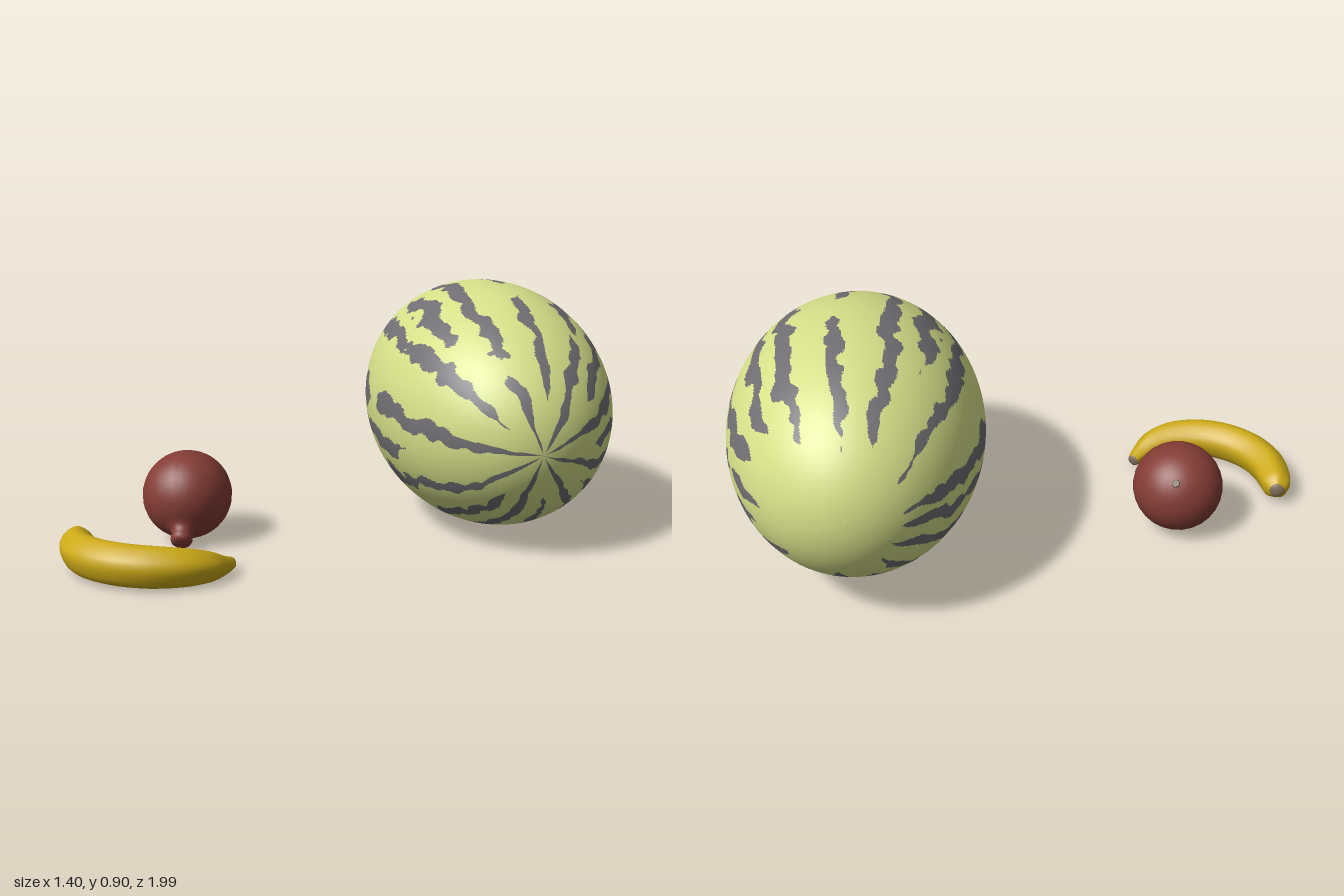
import * as THREE from 'three';
import { mergeVertices } from 'three/addons/utils/BufferGeometryUtils.js';

const mat = (name, color, side = THREE.FrontSide) => {
  const m = new THREE.MeshStandardMaterial({ color, side });
  m.name = name;
  return m;
};

// Smooth seeded 3D value noise, 0..1
function hash(x, y, z) {
  let h = (x * 374761393 + y * 668265263 + z * 1274126177 + 12345) | 0;
  h = Math.imul(h ^ (h >>> 13), 1274126177);
  return ((h ^ (h >>> 16)) >>> 0) / 4294967296;
}
function noise(x, y, z) {
  const [i, j, k] = [x, y, z].map(Math.floor);
  const [u, v, w] = [x - i, y - j, z - k].map(t => t * t * (3 - 2 * t));
  const mix = (a, b, t) => a + (b - a) * t;
  const row = (b, c) => mix(hash(i, b, c), hash(i + 1, b, c), u);
  return mix(mix(row(j, k), row(j + 1, k), v), mix(row(j, k + 1), row(j + 1, k + 1), v), w);
}

// Rind stripes: angle around the long axis (0 faces front, 90 is up), then start and end along it
const STRIPES = [
  [-77, -0.8, 1], [-56, -0.9, 0.9], [-32, -0.92, 1], [-12, -0.92, 0.4], [4, -0.92, 1], [38, -0.88, 0.95],
  [55, -0.3, 0.5], [72, -0.85, 1], [96, -0.8, 0.92], [122, -0.8, 1], [140, -0.65, 0.85], [160, -0.7, 1],
  [180, -0.75, 0.9], [199, -0.7, 1], [217, -0.8, 0.85], [238, -0.75, 1], [260, -0.85, 0.9],
].map(([deg, from, to]) => ({ angle: THREE.MathUtils.degToRad(deg), from, to }));

// True where a point of the unit sphere (long axis y) lies on a dark stripe
function isStripe(p) {
  const phi = Math.atan2(p.z, p.x);
  const wobble = 0.13 * (noise(p.x * 4 + 9, p.y * 6, p.z * 4) - 0.5)
    + 0.07 * (noise(p.x * 9, p.y * 14 + 40, p.z * 9) - 0.5);
  const edge = 0.1 * (noise(p.x * 12, p.y * 15 + 5, p.z * 12) - 0.5);
  const gap = noise(p.x * 5 + 31, p.y * 5, p.z * 5 + 17);
  const broken = Math.max(0, gap - (p.x < -0.15 ? 0.62 : 0.76)) * 0.45;
  for (const { angle, from, to } of STRIPES) {
    const e = phi + wobble - angle;
    const d = Math.abs(Math.atan2(Math.sin(e), Math.cos(e)));
    const taper = 0.12 * (THREE.MathUtils.smoothstep(from - p.y, -0.1, 0.1)
      + (to < 1 ? THREE.MathUtils.smoothstep(p.y - to, -0.08, 0.08) : 0));
    if (d < 0.076 + edge - broken - taper) return true;
  }
  return false;
}

// Melon: fine ellipsoid whose faces are sorted into rind and stripe groups
function makeMelon(rind, stripe) {
  const geo = new THREE.SphereGeometry(1, 340, 190);
  const pos = geo.attributes.position;
  const idx = geo.index.array;
  const light = [], dark = [];
  const c = new THREE.Vector3(), v = new THREE.Vector3();
  for (let i = 0; i < idx.length; i += 3) {
    c.set(0, 0, 0);
    for (let k = 0; k < 3; k++) c.add(v.fromBufferAttribute(pos, idx[i + k]));
    (isStripe(c.normalize()) ? dark : light).push(idx[i], idx[i + 1], idx[i + 2]);
  }
  geo.setIndex(light.concat(dark));
  geo.addGroup(0, light.length, 0);
  geo.addGroup(light.length, dark.length, 1);
  geo.scale(0.443, 0.62, 0.443);

  // Lay the long axis down, turned towards the front and dipping a little
  const turn = 0.628, dip = 0.08;
  const axis = new THREE.Vector3(Math.cos(turn) * Math.cos(dip), -Math.sin(dip), Math.sin(turn) * Math.cos(dip));
  const front = new THREE.Vector3(-Math.sin(turn), 0, Math.cos(turn));
  const up = new THREE.Vector3().crossVectors(front, axis);
  geo.applyMatrix4(new THREE.Matrix4().makeBasis(front, axis, up));
  const mesh = new THREE.Mesh(geo, [rind, stripe]);
  mesh.name = 'melon';
  mesh.position.set(0.137, 0.45, -0.482);
  return mesh;
}

// Pomegranate: lathed ball with a blunt crown, and a stem scar at the other end
function makePomegranate(skin, scar) {
  const g = new THREE.Group();
  g.name = 'pomegranate';
  const R = 0.161, pts = [];
  for (let i = 0; i <= 20; i++) {
    const a = -Math.PI / 2 + (i / 20) * (Math.PI - 0.3);
    pts.push(new THREE.Vector2(Math.max(0, R * Math.cos(a)), R * Math.sin(a)));
  }
  for (const [r, y] of [[0.038, 0.17], [0.037, 0.185], [0.039, 0.198], [0.034, 0.21], [0.02, 0.216], [0, 0.217]])
    pts.push(new THREE.Vector2(r, y));
  const body = new THREE.Mesh(new THREE.LatheGeometry(pts, 28), skin);
  body.name = 'pomegranateBody';
  const stem = new THREE.Mesh(new THREE.CylinderGeometry(0.015, 0.012, 0.016, 10), scar);
  stem.name = 'pomegranateStem';
  stem.position.y = -R - 0.003;
  g.add(body, stem);
  g.quaternion.setFromUnitVectors(new THREE.Vector3(0, 1, 0), new THREE.Vector3(0.1, -0.122, 0.125).normalize());
  g.position.set(-0.52, 0.164, 0.446);
  return g;
}

// Banana: tube along a curve with its own radius at each point, softly five-sided
function makeBanana(skin, tipMat) {
  const g = new THREE.Group();
  g.name = 'banana';
  const path = [ // x, y, z, radius
    [-0.68, 0.066, 0.816, 0.026], [-0.661, 0.064, 0.836, 0.05], [-0.613, 0.064, 0.873, 0.06],
    [-0.542, 0.067, 0.911, 0.067], [-0.45, 0.07, 0.926, 0.07], [-0.348, 0.07, 0.906, 0.071],
    [-0.254, 0.067, 0.851, 0.07], [-0.181, 0.059, 0.768, 0.064], [-0.152, 0.046, 0.69, 0.052],
    [-0.153, 0.031, 0.625, 0.034], [-0.164, 0.023, 0.576, 0.022]];
  const curve = new THREE.CatmullRomCurve3(path.map(p => new THREE.Vector3(p[0], p[1], p[2])));
  const radius = new THREE.CatmullRomCurve3(path.map(p => new THREE.Vector3(p[3], 0, 0)));
  const N = 48, S = 30;
  let geo = new THREE.TubeGeometry(curve, N, 1, S);
  const pos = geo.attributes.position, v = new THREE.Vector3();
  for (let i = 0; i <= N; i++) {
    const c = curve.getPointAt(i / N);
    const r = radius.getPoint(curve.getUtoTmapping(i / N)).x;
    for (let j = 0; j <= S; j++) {
      const k = i * (S + 1) + j;
      const ridge = 1 + 0.03 * Math.cos(5 * j / S * Math.PI * 2);
      v.fromBufferAttribute(pos, k).sub(c).multiplyScalar(r * ridge).add(c);
      pos.setXYZ(k, v.x, v.y, v.z);
    }
  }
  geo.deleteAttribute('uv');
  geo.deleteAttribute('normal');
  geo = mergeVertices(geo, 1e-5);
  geo.computeVertexNormals();
  const body = new THREE.Mesh(geo, skin);
  body.name = 'bananaBody';
  g.add(body);

  // Dry tips closing both ends
  for (const [u, r, name] of [[0, 0.0265, 'bananaBlossomTip'], [1, 0.0225, 'bananaStemTip']]) {
    const tip = new THREE.Mesh(new THREE.SphereGeometry(r, 16, 10), tipMat);
    tip.name = name;
    tip.scale.y = 0.4;
    tip.position.copy(curve.getPointAt(u));
    tip.quaternion.setFromUnitVectors(new THREE.Vector3(0, 1, 0), curve.getTangentAt(u));
    g.add(tip);
  }
  return g;
}

export function createModel() {
  const rind = mat('pale green rind', 0xd5df88);
  const stripe = mat('grey stripe', 0x706e72);
  const red = mat('dull red skin', 0x843c35, THREE.DoubleSide);
  const yellow = mat('banana yellow', 0xcba916);
  const brown = mat('dry grey brown', 0x80705c);
  const model = new THREE.Group();
  model.name = 'fruit';
  model.add(makeMelon(rind, stripe), makePomegranate(red, brown), makeBanana(yellow, brown));
  return model;
}
